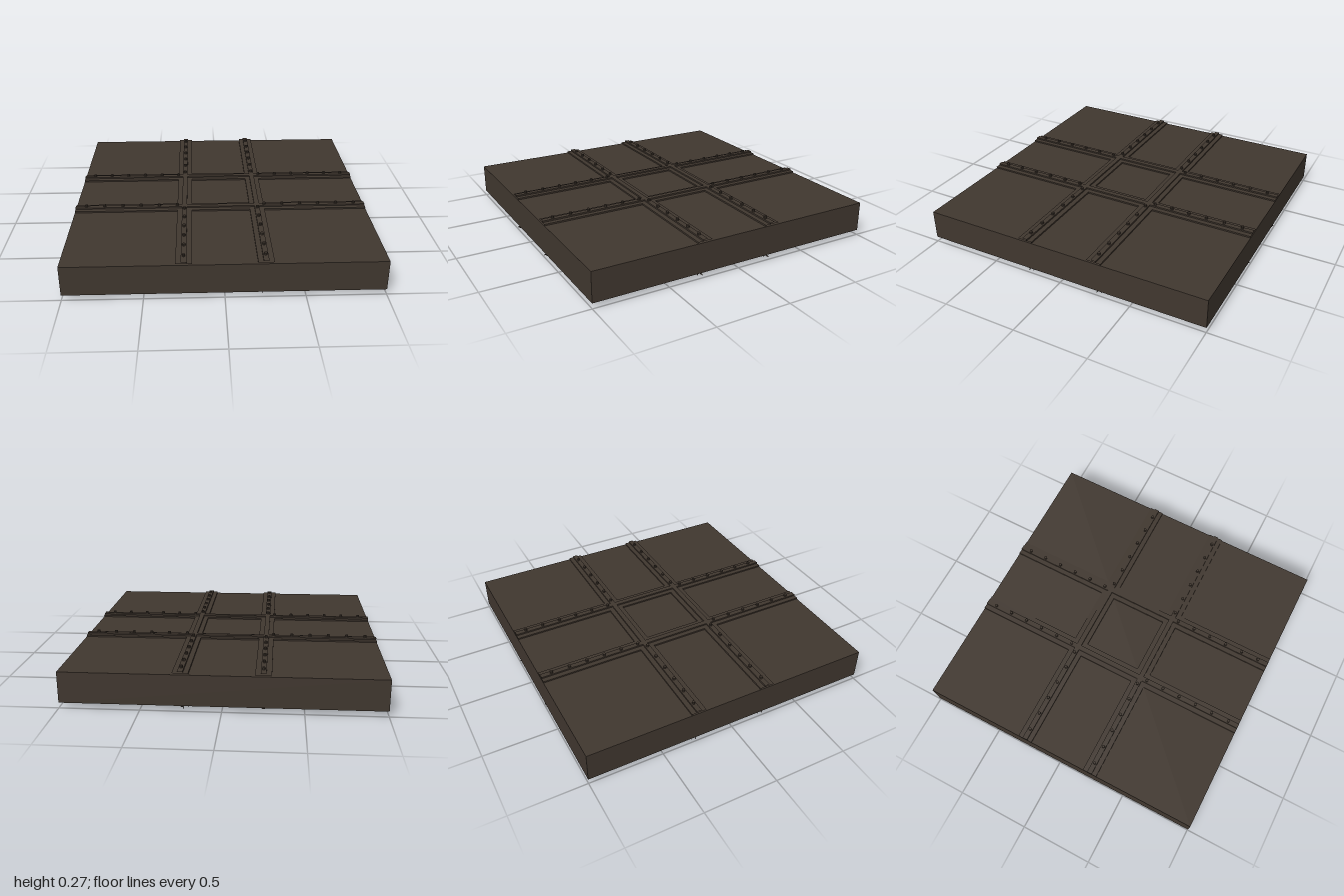
import * as THREE from 'three';

const MID = 0.135;   // mid height of the slab
const TOP = 0.1;     // slab half thickness
const LINE = 0.25;   // distance of each rib from the centre line

// Open-ended three-sided strip (left wall, top, right wall) running along z
function channelStrip(halfWidth, y0, y1, from, to) {
  const profile = [[-halfWidth, y0], [-halfWidth, y1], [halfWidth, y1], [halfWidth, y0]];
  let g = new THREE.PlaneGeometry(3, 1, 3, 1);
  const p = g.attributes.position;
  for (let i = 0; i < p.count; i++) {
    const [x, y] = profile[Math.round(p.getX(i) + 1.5)];
    p.setXYZ(i, x, y, p.getY(i) > 0 ? from : to);
  }
  g = g.toNonIndexed();
  g.computeVertexNormals();
  return g;
}

export function createModel() {
  const model = new THREE.Group();
  const metal = new THREE.MeshStandardMaterial({ color: 0x40372f });
  metal.name = 'darkBrownMetal';

  const add = (parent, name, geometry) => {
    const mesh = new THREE.Mesh(geometry, metal);
    mesh.name = name;
    parent.add(mesh);
    return mesh;
  };

  // Main plate
  add(model, 'slab', new THREE.BoxGeometry(2, TOP * 2, 2)).position.y = MID;

  const rivetGeometry = new THREE.CylinderGeometry(0.01, 0.01, 0.016, 8).toNonIndexed();
  rivetGeometry.computeVertexNormals();

  // The two steps of a rib: wide base and narrow cap
  const steps = [
    { name: 'ribBase', half: 0.05, y0: TOP, y1: TOP + 0.01 },
    { name: 'ribCap', half: 0.017, y0: TOP + 0.01, y1: TOP + 0.02 },
  ];

  // Same ribbing on the upper and lower face
  for (const face of ['upper', 'lower']) {
    const side = new THREE.Group();
    side.name = face + 'Ribbing';
    side.position.y = MID;
    if (face === 'lower') side.rotation.x = Math.PI;
    model.add(side);

    for (const s of [-1, 1]) {
      for (const { name, half, y0, y1 } of steps) {
        // Continuous ribs from front to back
        add(side, name + 'Long', channelStrip(half, y0, y1, -1, 1)).position.x = s * LINE;
        // Cross ribs, interrupted where the long ribs pass
        const spans = [[-1, -LINE - half], [-LINE + half, LINE - half], [LINE + half, 1]];
        for (const [a, b] of spans) {
          const cross = add(side, name + 'Cross', channelStrip(half, y0, y1, a, b));
          cross.rotation.y = Math.PI / 2;
          cross.position.z = s * LINE;
        }
      }
      // Rivets on the outer stretches of every rib
      for (const t of [-1, 1]) {
        for (let i = 0; i < 6; i++) {
          const d = t * (0.3 + i * 0.125);
          add(side, 'rivet', rivetGeometry).position.set(s * LINE, TOP + 0.027, d);
          add(side, 'rivet', rivetGeometry).position.set(d, TOP + 0.027, s * LINE);
        }
      }
    }
  }
  return model;
}
